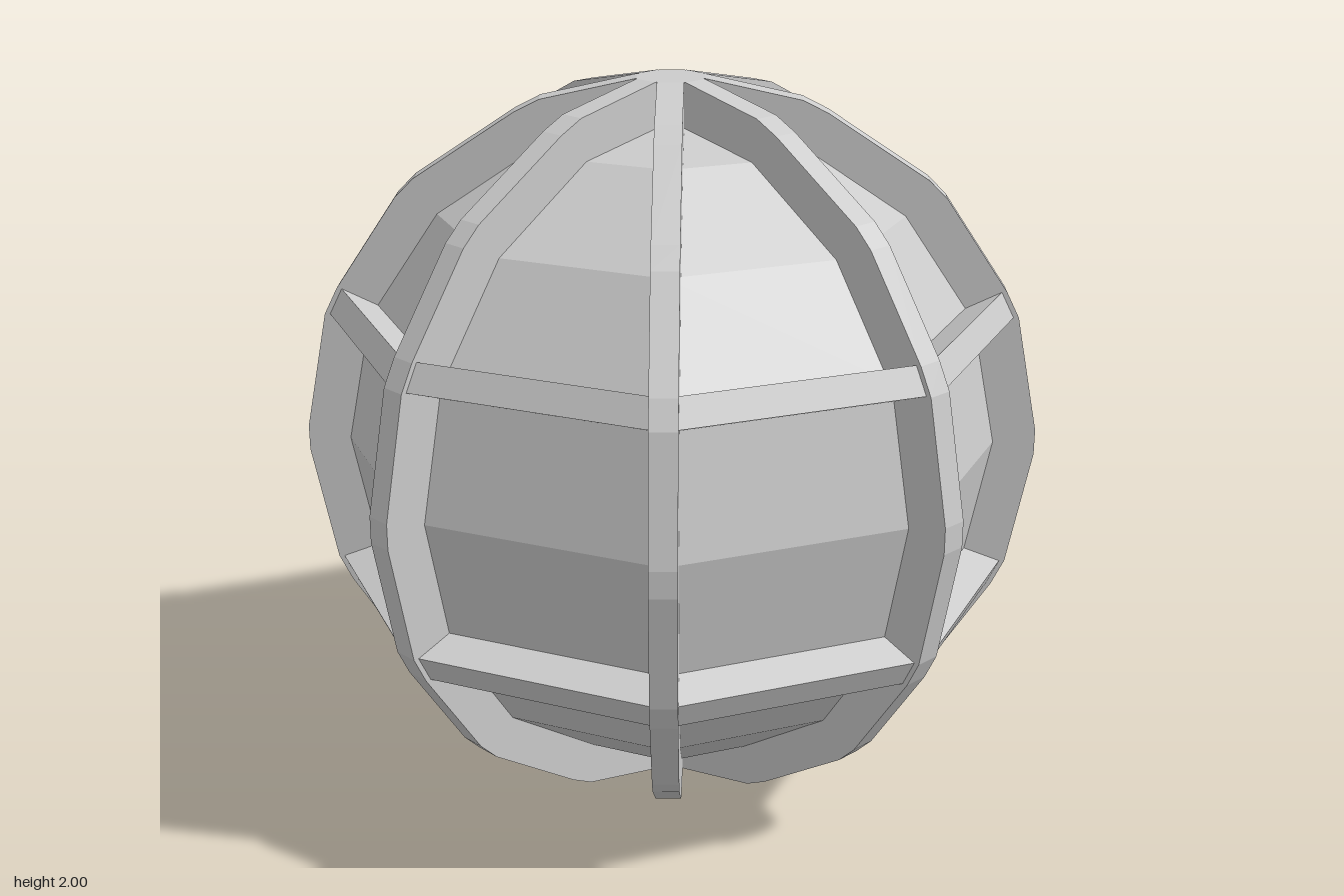
import * as THREE from 'three';

export function createModel() {
  const model = new THREE.Group();
  const material = new THREE.MeshStandardMaterial({ color: 0xcccccc, flatShading: true });
  const add = (name, geometry) => {
    const mesh = new THREE.Mesh(geometry, material);
    mesh.name = name;
    mesh.position.y = 1;
    model.add(mesh);
    return mesh;
  };
  const ribWidth = 0.07, innerScale = 0.86;

  // Faceted inner globe
  add('innerGlobe', new THREE.SphereGeometry(0.9, 8, 8));

  // Quarter outline of a rib, equator to pole, chamfered at each bend
  const quarter = [
    [1, 0.035], [0.937, 0.357], [0.902, 0.428], [0.732, 0.682],
    [0.682, 0.732], [0.412, 0.91], [0.345, 0.944], [0.09, 1],
  ];
  const reversed = [...quarter].reverse();
  const outline = [
    ...quarter,
    ...reversed.map(([x, y]) => [-x, y]),
    ...quarter.map(([x, y]) => [-x, -y]),
    ...reversed.map(([x, y]) => [x, -y]),
  ].map(([x, y]) => new THREE.Vector2(x, y));

  // Four full hoops make the eight meridian ribs
  const hoopShape = new THREE.Shape(outline);
  hoopShape.holes.push(new THREE.Path(outline.map((p) => p.clone().multiplyScalar(innerScale))));
  const hoop = new THREE.ExtrudeGeometry(hoopShape, { depth: ribWidth, bevelEnabled: false });
  hoop.translate(0, 0, -ribWidth / 2);
  for (let i = 0; i < 4; i++) {
    add('meridianHoop' + (i + 1), hoop).rotation.y = (i * Math.PI) / 4;
  }

  // Upper and lower octagonal rings with sides pointing at the centre
  for (const side of [1, -1]) {
    const low = new THREE.Vector2(0.937, 0.357), high = new THREE.Vector2(0.902, 0.428);
    const section = [
      low, high,
      high.clone().multiplyScalar(innerScale), low.clone().multiplyScalar(innerScale),
      low,
    ].map((p) => new THREE.Vector2(p.x, p.y * side));
    if (side < 0) section.reverse();
    add(side > 0 ? 'upperRing' : 'lowerRing', new THREE.LatheGeometry(section, 8));
  }
  return model;
}
